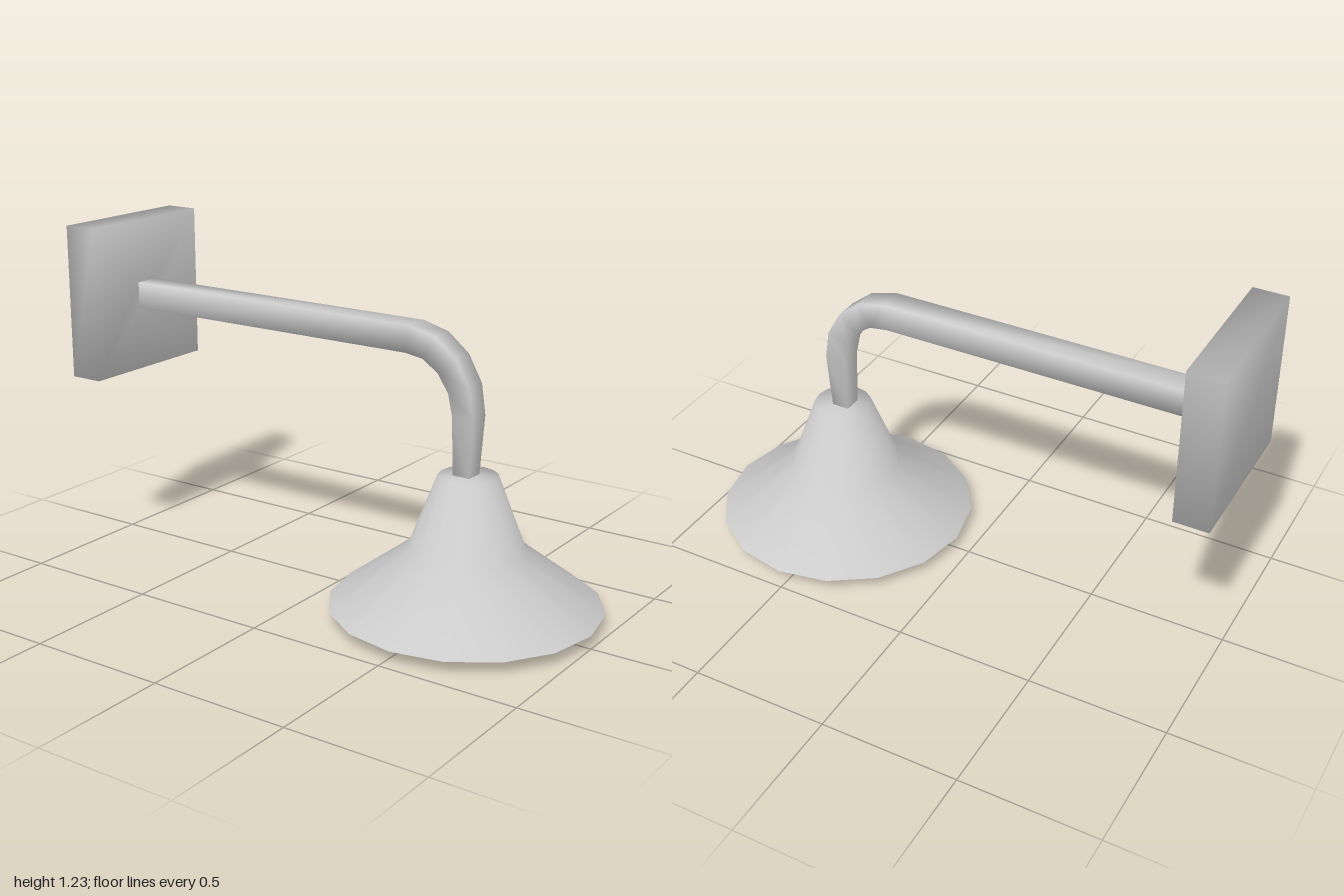
import * as THREE from 'three';

const material = new THREE.MeshStandardMaterial({ color: 0xcccccc, side: THREE.DoubleSide });

// Smooth loft through square sections [x, y, tilt in degrees, half size]
function squareLoft(name, sections) {
  const pos = [], idx = [];
  const corners = [[1, 1], [1, -1], [-1, -1], [-1, 1]];
  sections.forEach(([x, y, tilt, h], i) => {
    const a = THREE.MathUtils.degToRad(tilt);
    for (const [n, z] of corners) pos.push(x - Math.sin(a) * n * h, y + Math.cos(a) * n * h, z * h);
    if (i === 0) return;
    for (let j = 0; j < 4; j++) {
      const k = (j + 1) % 4, p = (i - 1) * 4, q = i * 4;
      idx.push(p + j, q + j, q + k, p + j, q + k, p + k);
    }
  });
  const e = (sections.length - 1) * 4;
  idx.push(0, 1, 2, 0, 2, 3, e, e + 2, e + 1, e, e + 3, e + 2);
  const geometry = new THREE.BufferGeometry();
  geometry.setAttribute('position', new THREE.Float32BufferAttribute(pos, 3));
  geometry.setIndex(idx);
  geometry.computeVertexNormals();
  const mesh = new THREE.Mesh(geometry, material);
  mesh.name = name;
  return mesh;
}

// Turned part on the lamp axis
function turned(name, profile, sides) {
  const points = profile.map(([r, y]) => new THREE.Vector2(r, y));
  const mesh = new THREE.Mesh(new THREE.LatheGeometry(points, sides), material);
  mesh.name = name;
  mesh.position.x = 0.525;
  return mesh;
}

export function createModel() {
  const model = new THREE.Group();
  model.name = 'wallLamp';

  // Square wall plate, its front face narrowing to the arm
  model.add(squareLoft('wallPlate', [
    [-1, 0.95, 0, 0.28], [-0.875, 0.95, 0, 0.28], [-0.875, 0.95, 0, 0.049],
  ]));

  // Square arm: straight run, quarter bend, tapered drop into the shade
  const arm = [[-0.88, 0.95, 0, 0.048]];
  const bendSteps = 4, radiusX = 0.215, radiusY = 0.24;
  for (let i = 0; i <= bendSteps; i++) {
    const t = (i / bendSteps) * Math.PI / 2;
    arm.push([
      0.305 + radiusX * Math.sin(t), 0.95 - radiusY * (1 - Math.cos(t)),
      -8 - 82 * i / bendSteps, 0.048 - 0.002 * i,
    ]);
  }
  arm.push([0.515, 0.49, -90, 0.032]);
  model.add(squareLoft('arm', arm));

  // Thin flared shade: inner wall downwards, rim, outer wall upwards
  model.add(turned('shade', [
    [0, 0.485], [0.09, 0.485], [0.187, 0.245], [0.457, 0.047],
    [0.473, 0.045], [0.2, 0.25], [0.103, 0.505], [0, 0.505],
  ], 16));

  // Round-ended bulb
  const bulb = [];
  for (let i = 0; i <= 5; i++) {
    const t = (i / 5) * Math.PI / 2;
    bulb.push([0.072 * Math.sin(t), 0.065 * (1 - Math.cos(t))]);
  }
  bulb.push([0.072, 0.22], [0.06, 0.485]);
  model.add(turned('bulb', bulb, 16));

  return model;
}
